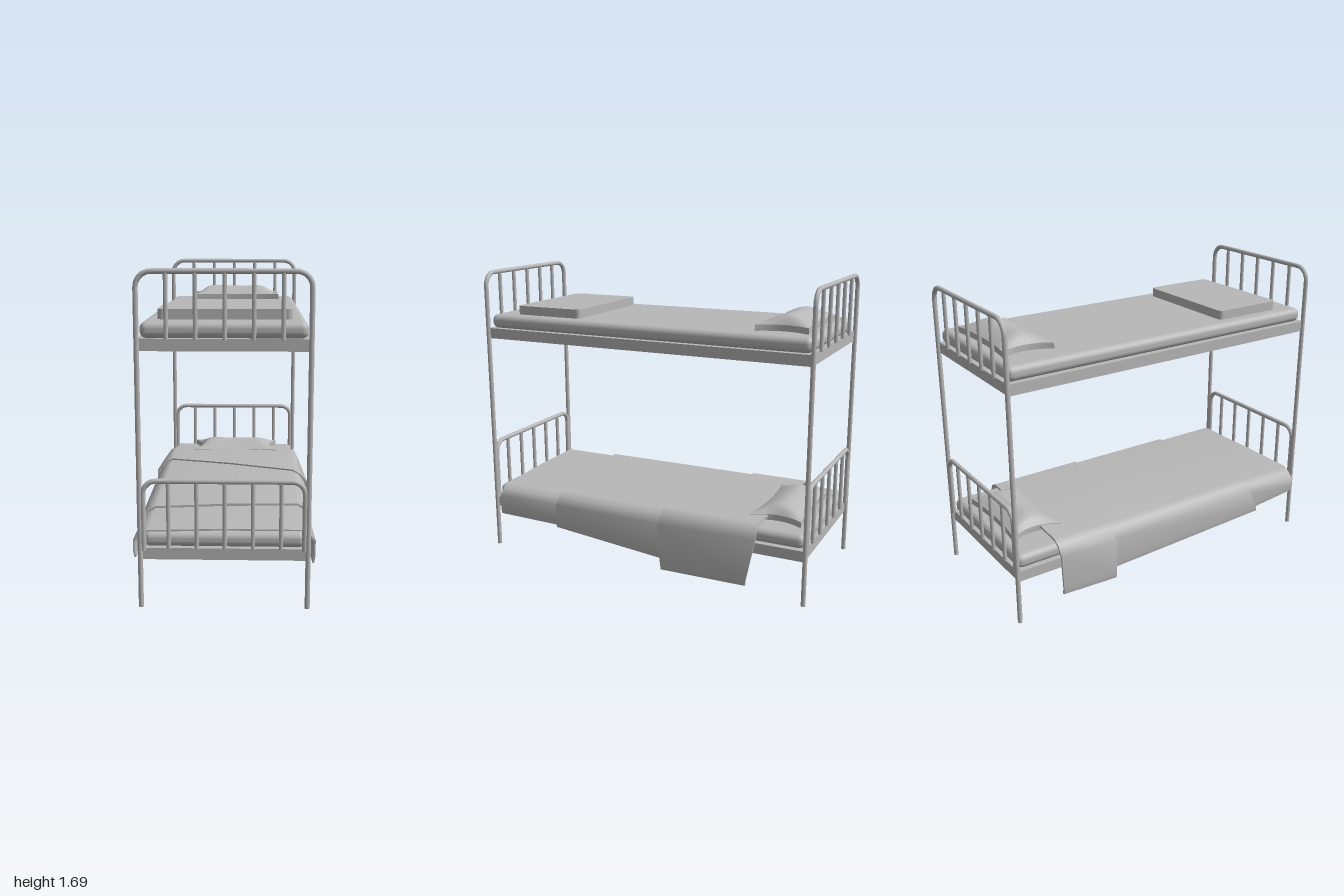
import * as THREE from 'three';
import { mergeVertices } from 'three/addons/utils/BufferGeometryUtils.js';
import { RoundedBoxGeometry } from 'three/addons/geometries/RoundedBoxGeometry.js';

const grey = new THREE.MeshStandardMaterial({ color: 0xb8b8b8 });
grey.name = 'plain grey';

const LEG_X = 0.419, END_Z = 0.985, TUBE_R = 0.013;

function part(parent, name, geometry, x = 0, y = 0, z = 0) {
  const mesh = new THREE.Mesh(geometry, grey);
  mesh.name = name;
  mesh.position.set(x, y, z);
  parent.add(mesh);
  return mesh;
}

// Upside-down U of bent tube, standing on y = bottom
function archGeometry(halfWidth, bottom, top, bend) {
  const path = new THREE.CurvePath();
  const v = (x, y) => new THREE.Vector3(x, y, 0);
  const k = bend * 0.4477;
  const w = halfWidth;
  path.add(new THREE.LineCurve3(v(-w, bottom), v(-w, top - bend)));
  path.add(new THREE.CubicBezierCurve3(v(-w, top - bend), v(-w, top - k), v(-w + k, top), v(-w + bend, top)));
  path.add(new THREE.LineCurve3(v(-w + bend, top), v(w - bend, top)));
  path.add(new THREE.CubicBezierCurve3(v(w - bend, top), v(w - k, top), v(w, top - k), v(w, top - bend)));
  path.add(new THREE.LineCurve3(v(w, top - bend), v(w, bottom)));
  return new THREE.TubeGeometry(path, 160, TUBE_R, 12);
}

// Pinched pillow with a flat base and a domed top
function pillowGeometry() {
  const g = new THREE.BoxGeometry(2, 1, 2, 20, 2, 14);
  const p = g.attributes.position;
  for (let i = 0; i < p.count; i++) {
    const u = p.getX(i), t = p.getY(i) + 0.5, v = p.getZ(i);
    const halfX = 0.28 - 0.048 * (1 - v * v);
    const halfZ = 0.145 - 0.022 * (1 - u * u);
    const height = 0.036 + (0.048 + 0.013 * u * u) * (1 - Math.pow(Math.abs(v), 1.6)) * (1 - Math.pow(Math.abs(u), 7));
    p.setXYZ(i, u * halfX, t * height, v * halfZ);
  }
  g.computeVertexNormals();
  return g;
}

// Blanket layer draped over the bed. Each end gives, for the left (+x) and
// right (-x) side: z, half width w, hem height y and hem shift s along z.
function drapeGeometry(crown, thick, front, back) {
  const section = (end, inset) => {
    const side = (e, sign) => [
      [sign * (e.w - 0.006 - inset), e.y, e.z + e.s],
      [sign * (e.w - inset), e.y + 0.035, e.z + e.s * 0.9],
      [sign * (e.w - inset), 0.34 - inset * 0.4, e.z],
      [sign * (0.425 - inset * 0.5), crown - 0.028 - inset, e.z],
      [sign * 0.385, crown - 0.006 - inset, e.z],
    ];
    const middle = [0, crown - inset, (end.left.z + end.right.z) / 2];
    return [...side(end.right, -1), middle, ...side(end.left, 1).reverse()];
  };
  const ring = (end) => [...section(end, 0), ...section(end, thick).reverse()];
  const a = ring(front), b = ring(back), n = a.length, h = n / 2;
  const pos = [];
  const quad = (p, q, r, s) => [p, q, r, p, r, s].forEach((c) => pos.push(...c));
  // Outer face, inner face and hems
  for (let i = 0; i < n; i++) {
    const j = (i + 1) % n;
    quad(a[i], a[j], b[j], b[i]);
  }
  const count = pos.length / 3;
  // Front and back edges
  for (let i = 0; i < h - 1; i++) {
    const k = n - 1 - i;
    quad(a[i], a[k], a[k - 1], a[i + 1]);
    quad(b[i], b[i + 1], b[k - 1], b[k]);
  }
  const g = new THREE.BufferGeometry();
  g.setAttribute('position', new THREE.Float32BufferAttribute(pos, 3));
  // Keep the cloth edges crisp while the faces stay soft
  const kind = [];
  for (let i = 0; i < pos.length / 3; i++) {
    const strip = Math.floor(i / 6);
    const hem = strip === h - 1 || strip === n - 1;
    kind.push(i >= count ? 2 + (strip % 2) : hem ? 1 : strip < h ? 0 : 4);
  }
  g.setAttribute('kind', new THREE.Float32BufferAttribute(kind, 1));
  const merged = mergeVertices(g);
  merged.computeVertexNormals();
  merged.deleteAttribute('kind');
  return merged;
}

// One sleeping level: rails, base panel, mattress and pillow
function addBunk(root, name, y) {
  const bunk = new THREE.Group();
  bunk.name = name;
  bunk.position.y = y;
  root.add(bunk);
  for (const s of [-1, 1]) {
    part(bunk, 'sideRail', new THREE.BoxGeometry(0.012, 0.06, 1.95), s * 0.413, 0.03, 0);
    part(bunk, 'endRail', new THREE.BoxGeometry(0.826, 0.06, 0.012), 0, 0.03, s * 0.975);
  }
  part(bunk, 'basePanel', new THREE.BoxGeometry(0.82, 0.008, 1.945), 0, 0.056, 0);
  part(bunk, 'mattress', new RoundedBoxGeometry(0.815, 0.08, 1.945, 4, 0.034), 0, 0.099, 0);
  part(bunk, 'pillow', pillowGeometry(), 0.02, 0.136, -0.775);
}

export function createModel() {
  const root = new THREE.Group();
  root.name = 'bunkBed';

  // End frames: tall arch with legs, lower arch and upright bars
  for (const s of [-1, 1]) {
    const frame = new THREE.Group();
    frame.name = s > 0 ? 'footFrame' : 'headFrame';
    frame.position.z = s * END_Z;
    root.add(frame);
    part(frame, 'tallArch', archGeometry(LEG_X, 0, 1.68, 0.075));
    part(frame, 'lowerArch', archGeometry(LEG_X - 0.018, 0.3, 0.657, 0.065));
    for (const [bottom, top] of [[0.31, 0.657], [1.355, 1.68]]) {
      for (let i = -2; i <= 2; i++) {
        part(frame, 'uprightBar', new THREE.CylinderGeometry(0.011, 0.011, top - bottom, 10),
          i * 0.14 + 0.004, (top + bottom) / 2, 0);
      }
    }
    // Leg ends closed off
    for (const x of [-LEG_X, LEG_X]) {
      part(frame, 'legFoot', new THREE.CylinderGeometry(TUBE_R, TUBE_R, 0.01, 12), x, 0.005, 0);
    }
  }

  addBunk(root, 'lowerBunk', 0.25);
  addBunk(root, 'upperBunk', 1.3);

  // Folded blanket lying at the foot of the upper bunk
  const fold = new THREE.Shape();
  const w = 0.335, d = 0.21, r = 0.025;
  fold.absarc(w - r, d - r, r, 0, Math.PI / 2);
  fold.absarc(-w + r, d - r, r, Math.PI / 2, Math.PI);
  fold.absarc(-w + r, -d + r, r, Math.PI, Math.PI * 1.5);
  fold.absarc(w - r, -d + r, r, Math.PI * 1.5, Math.PI * 2);
  const folded = new THREE.ExtrudeGeometry(fold, { depth: 0.056, bevelEnabled: false, curveSegments: 5 });
  folded.rotateX(-Math.PI / 2);
  part(root, 'foldedBlanket', folded, 0, 1.434, 0.62);

  // Three overlapping blanket layers on the lower bunk, foot to head
  const e = (z, half, y, s = 0) => ({ z, w: half, y, s });
  part(root, 'footSheet', drapeGeometry(0.4, 0.009,
    { left: e(0.93, 0.46, 0.22), right: e(0.955, 0.46, 0.25) },
    { left: e(0.48, 0.447, 0.205), right: e(0.48, 0.453, 0.2) }));
  part(root, 'middleBlanket', drapeGeometry(0.413, 0.012,
    { left: e(0.53, 0.465, 0.2), right: e(0.6, 0.465, 0.195, 0.06) },
    { left: e(-0.25, 0.46, 0.12), right: e(-0.5, 0.462, 0.15) }));
  part(root, 'turnedBlanket', drapeGeometry(0.422, 0.012,
    { left: e(-0.145, 0.478, 0.07, -0.02), right: e(-0.4, 0.484, 0.1) },
    { left: e(-0.715, 0.45, 0.06, 0.055), right: e(-0.74, 0.463, 0.1, 0.01) }));

  return root;
}
